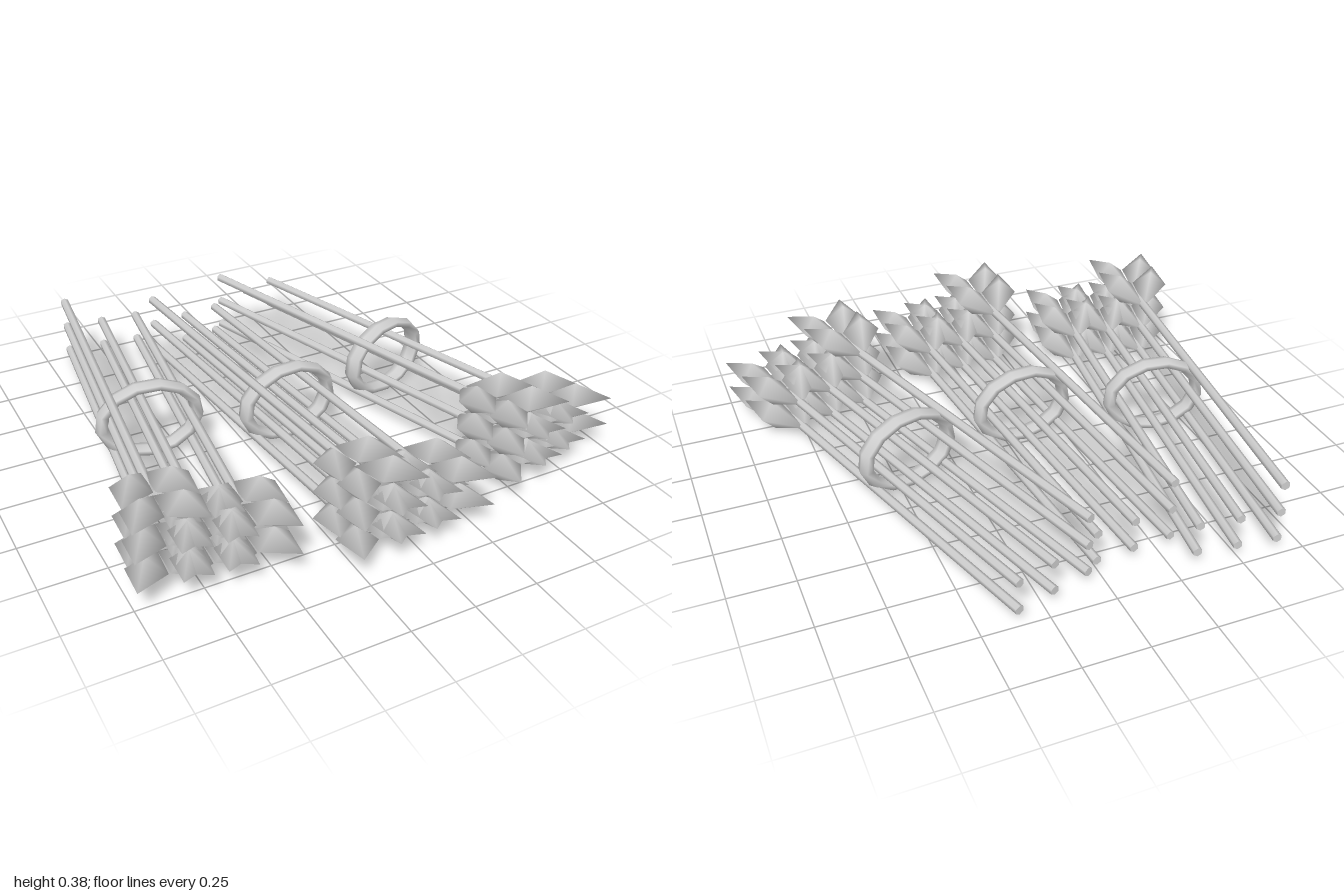
import * as THREE from 'three';

const straw = new THREE.MeshStandardMaterial({ color: 0xd0d0d0 });
straw.name = 'straw grey';

// Eight-sided grain: back point at the stalk, swelling to a tilted ring, then a raised forward tip.
// side = -1 or 1 mirrors it across the stalk.
function grainGeometry(side) {
  const points = [
    [0, 0, 1.40],
    [0.137, 0.04, 1.50], [0.073, 0.095, 1.53],
    [0.004, 0.032, 1.57], [0.073, -0.03, 1.515],
    [0.13, 0.058, 1.66],
  ];
  const index = [];
  for (let i = 0; i < 4; i++) {
    const a = 1 + i, b = 1 + (i + 1) % 4;
    if (side > 0) index.push(0, b, a, 5, a, b);
    else index.push(0, a, b, 5, b, a);
  }
  const geo = new THREE.BufferGeometry();
  geo.setAttribute('position', new THREE.Float32BufferAttribute(
    points.flatMap(([x, y, z]) => [x * side, y, z]), 3));
  geo.setIndex(index);
  geo.computeVertexNormals();
  return geo;
}

const STALK_LENGTH = 1.5;
const stalkGeo = new THREE.CylinderGeometry(0.018, 0.018, STALK_LENGTH, 6)
  .rotateX(Math.PI / 2).translate(0, 0, STALK_LENGTH / 2);
const grainGeos = { left: grainGeometry(1), right: grainGeometry(-1) };

// Oval band with few sides, one corner at the bottom
const bandGeo = new THREE.TorusGeometry(0.192, 0.026, 6, 13)
  .rotateZ(-Math.PI / 2).scale(1, 0.755, 1.45);

function part(name, geometry) {
  const mesh = new THREE.Mesh(geometry, straw);
  mesh.name = name;
  return mesh;
}

// One stalk with two pairs of grains
function createEar() {
  const ear = new THREE.Group();
  ear.name = 'ear';
  ear.add(part('stalk', stalkGeo));
  for (const side of ['left', 'right']) {
    for (let row = 0; row < 2; row++) {
      const grain = part(side + 'Grain', grainGeos[side]);
      grain.position.z = row * 0.142;
      ear.add(grain);
    }
  }
  return ear;
}

// Seven ears: three stacked in the first column, two in each of the others
function createSheaf(x, z, angle) {
  const sheaf = new THREE.Group();
  sheaf.name = 'sheaf';
  [3, 2, 2].forEach((count, column) => {
    for (let level = 0; level < count; level++) {
      const ear = createEar();
      ear.position.set(column * 0.154, 0.053 + level * 0.117, 0);
      sheaf.add(ear);
    }
  });
  const band = part('band', bandGeo);
  band.position.set(0.152, 0.167, 0.875);
  sheaf.add(band);
  sheaf.position.set(x, 0, z);
  sheaf.rotation.y = angle;
  return sheaf;
}

export function createModel() {
  const model = new THREE.Group();
  model.name = 'sheaves';
  model.add(
    createSheaf(-0.65, -0.977, -0.122),
    createSheaf(-0.30, -0.82, 0.088),
    createSheaf(0.06, -0.89, 0.295),
  );
  return model;
}
